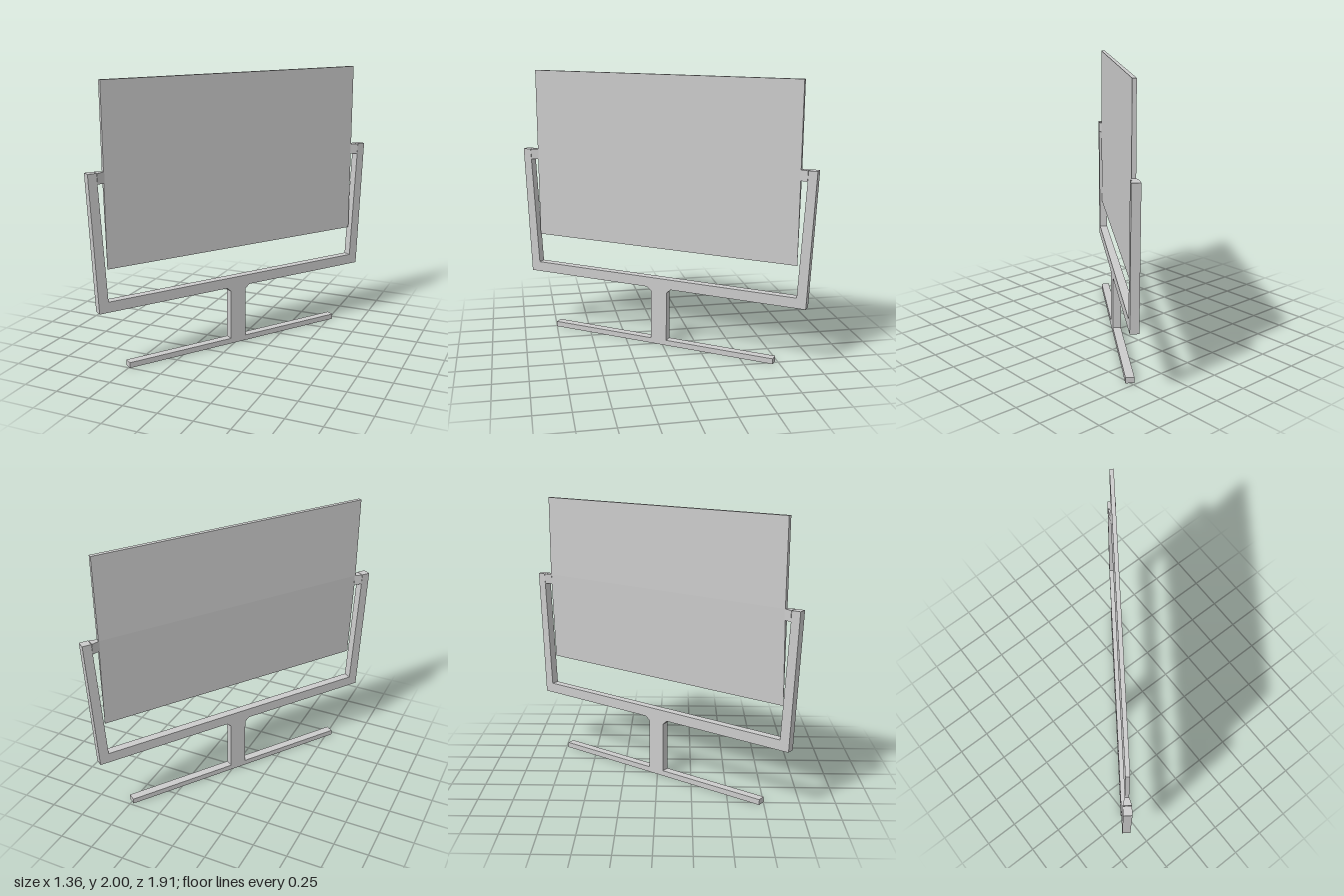
import * as THREE from 'three';

const grey = new THREE.MeshStandardMaterial({ color: 0xcccccc });
grey.name = 'light grey';

// Straight prism from an outline of [x, y] points, centred on z
function prism(points, depth) {
  const shape = new THREE.Shape(points.map(([x, y]) => new THREE.Vector2(x, y)));
  return new THREE.ExtrudeGeometry(shape, { depth, bevelEnabled: false, steps: 1 })
    .translate(0, 0, -depth / 2);
}

export function createModel() {
  const group = new THREE.Group();
  group.name = 'swivelScreen';
  const add = (name, geometry, x = 0) => {
    const mesh = new THREE.Mesh(geometry, grey);
    mesh.name = name;
    mesh.position.x = x;
    group.add(mesh);
  };
  const thick = 0.06;

  // Long foot bar
  add('foot', new THREE.BoxGeometry(1.772, 0.04, thick).translate(0, 0.02, 0), -0.01);

  // Post with a small flare under the frame
  add('post', prism([
    [-0.062, 0.04], [0.062, 0.04], [0.062, 0.41], [0.095, 0.44], [-0.095, 0.44], [-0.062, 0.41],
  ], thick), -0.01);

  // U-shaped yoke whose arms lean outward
  add('yoke', prism([
    [-1.1, 0.44], [1.1, 0.44], [1.142, 1.405], [1.08, 1.405],
    [1.033, 0.515], [-1.033, 0.515], [-1.08, 1.405], [-1.142, 1.405],
  ], thick), -0.003);

  // Pivots narrowing from the arm to the panel
  for (const side of [-1, 1]) {
    const plan = [[1.076, -0.03], [1.076, 0.03], [1.02, 0.014], [1.02, -0.014]];
    const pivot = prism(plan.map(([x, z]) => [side * x, z]), 0.075)
      .rotateX(-Math.PI / 2).translate(0, 1.3675, 0);
    add(side > 0 ? 'leftPivot' : 'rightPivot', pivot, -0.003);
  }

  // Panel: flat front, back tapering to a thin lower edge
  add('panel', prism([
    [0.014, 0.74], [0.014, 2], [-0.014, 2], [-0.014, 1.405],
  ], 2.05).rotateY(-Math.PI / 2), -0.003);

  // The whole stand is turned on its vertical axis
  group.rotation.y = THREE.MathUtils.degToRad(55);
  return group;
}
